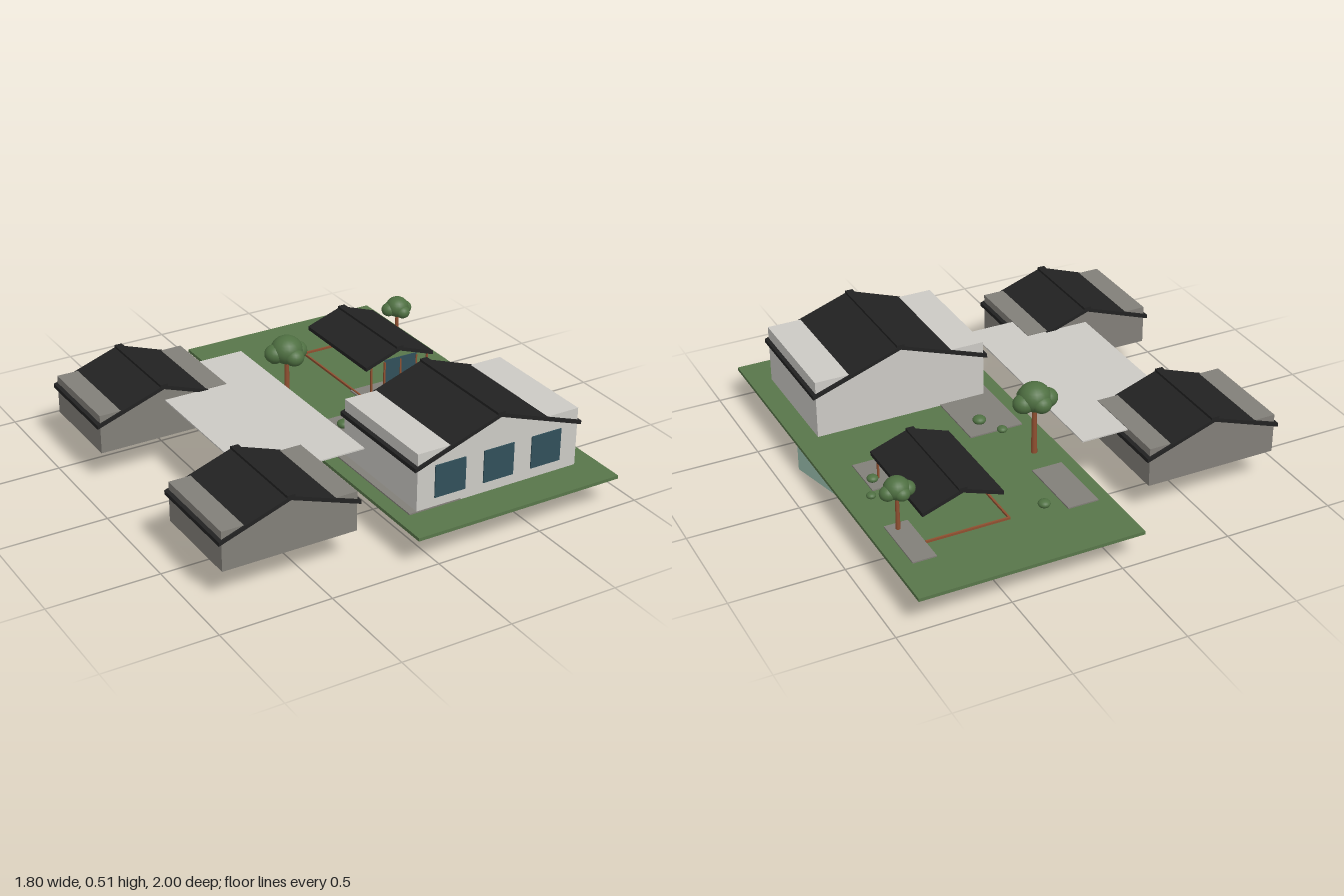
import * as THREE from 'three';

const mat = (name, color) => {
  const m = new THREE.MeshStandardMaterial({ color });
  m.name = name;
  return m;
};

export function createModel() {
  const root = new THREE.Group();
  const grass = mat('grass', 0x58764a), roofDark = mat('roofDark', 0x222222);
  const paleWall = mat('paleWall', 0xcccac5), grey = mat('grey', 0x827f79);
  const glass = mat('windowGlass', 0x31505a), water = mat('poolGreen', 0x95b8a8);
  const wood = mat('wood', 0x8f4f30), leaf = mat('leaf', 0x4f7042);

  const add = (name, geo, m, x = 0, y = 0, z = 0, parent = root) => {
    const mesh = new THREE.Mesh(geo, m);
    mesh.name = name;
    mesh.position.set(x, y, z);
    parent.add(mesh);
    return mesh;
  };
  // Box given by its limits on each axis
  const box = (name, m, x0, x1, y0, y1, z0, z1, parent = root) =>
    add(name, new THREE.BoxGeometry(x1 - x0, y1 - y0, z1 - z0), m,
      (x0 + x1) / 2, (y0 + y1) / 2, (z0 + z1) / 2, parent);
  // Profile in x and y, extruded from z0 to z1
  const prism = (name, m, pts, x, z0, z1, parent) =>
    add(name, new THREE.ExtrudeGeometry(
      new THREE.Shape(pts.map(p => new THREE.Vector2(...p))),
      { depth: z1 - z0, bevelEnabled: false }), m, x, 0, z0, parent);

  // Chevron roof of two slabs with a ridge cap
  const SLOPE = 0.35;
  const gableRoof = (parent, x, half, ridge, z0, z1, t = 0.018) => {
    const eave = ridge - half * SLOPE;
    prism('roof', roofDark, [[-half, eave - t], [0, ridge - t], [half, eave - t],
      [half, eave], [0, ridge], [-half, eave]], x, z0, z1, parent);
    box('ridgeCap', roofDark, x - 0.018, x + 0.018, ridge - 0.012, ridge + 0.005, z0, z1, parent);
  };

  // Block with flat-topped walls, gable infill and a roof cutting into its corners
  const house = (name, m, x0, x1, top, ridge, z0, z1) => {
    const g = new THREE.Group();
    g.name = name;
    root.add(g);
    const x = (x0 + x1) / 2;
    box('walls', m, x0, x1, 0.15, top, z0, z1, g);
    const peak = ridge - 0.012, w = (peak - top) / SLOPE;
    prism('gable', m, [[-w, top], [w, top], [0, peak]], x, z0, z1, g);
    gableRoof(g, x, (x1 - x0) / 2 + 0.015, ridge, z0 - 0.01, z1 + 0.008);
    return g;
  };

  // Lawn and the two turned basins beneath it
  box('lawn', grass, -0.1, 0.9, 0.135, 0.15, -1, 1);
  for (const [x, z, turn] of [[0.2, -0.33, -0.13], [0.665, 0.085, 0.24]]) {
    add('basin', new THREE.BoxGeometry(0.343, 0.137, 0.495), water, x, 0.0685, z).rotation.y = turn;
  }

  // Paving
  for (const [x0, x1, z0, z1] of [[-0.04, 0.1, -0.72, -0.4], [0.72, 0.825, -0.78, -0.5],
    [0.335, 0.76, -0.235, -0.02], [-0.035, 0.215, 0.245 - 0.29, 0.83]]) {
    box('paving', grey, x0, x1, 0.149, 0.156, z0, z1);
  }

  // Main house with three front windows
  const main = house('mainHouse', paleWall, 0, 0.8, 0.42, 0.505, 0.265, 0.828);
  for (const x of [0.16, 0.4, 0.64]) {
    box('frontWindow', glass, x - 0.075, x + 0.075, 0.197, 0.347, 0.827, 0.833, main);
  }

  // Two side houses joined by a flat canopy
  house('backSideHouse', grey, -0.89, -0.28, 0.33, 0.402, -0.72, -0.275);
  house('frontSideHouse', grey, -0.89, -0.28, 0.33, 0.402, 0.375, 0.822);
  box('canopy', paleWall, -0.58, -0.065, 0.321, 0.327, -0.535, 0.528);
  box('hangingPanel', roofDark, -0.5, -0.34, 0.265, 0.303, -0.003, 0.003);

  // Garden pavilion: roof, front screen and posts
  const pavilion = new THREE.Group();
  pavilion.name = 'pavilion';
  root.add(pavilion);
  gableRoof(pavilion, 0.55, 0.18, 0.355, -0.672, -0.155);
  box('screenGlass', glass, 0.47, 0.64, 0.155, 0.305, -0.161, -0.157, pavilion);
  for (const x of [0.4, 0.47, 0.555, 0.64, 0.7]) {
    box('post', wood, x - 0.004, x + 0.004, 0.15, 0.295, -0.163, -0.155, pavilion);
  }
  // Low timber edging
  box('leftEdging', wood, 0.343, 0.351, 0.15, 0.16, -0.678, -0.122, pavilion);
  box('backEdging', wood, 0.343, 0.72, 0.15, 0.16, -0.678, -0.67, pavilion);
  box('frontEdging', wood, 0.343, 0.61, 0.15, 0.16, -0.13, -0.122, pavilion);

  // Trees: a trunk and a cluster of rounded clumps
  const ball = new THREE.SphereGeometry(1, 20, 14);
  const clumps = [[0, 0, 0, 0.072], [-0.055, -0.012, -0.01, 0.047], [0.055, -0.018, -0.005, 0.047],
    [0.01, -0.02, 0.05, 0.045], [-0.01, -0.015, -0.045, 0.045]];
  const tree = (x, y, z, s) => {
    const g = new THREE.Group();
    g.name = 'tree';
    root.add(g);
    add('trunk', new THREE.CylinderGeometry(0.009 * s, 0.014 * s, y - 0.15, 10), wood,
      x, (y + 0.15) / 2, z, g);
    for (const [cx, cy, cz, r] of clumps) {
      add('foliage', ball, leaf, x + cx * s, y + cy * s, z + cz * s, g)
        .scale.set(r * s, r * s * 0.9, r * s);
    }
  };
  tree(0.022, 0.425, -0.268, 1);
  tree(0.78, 0.352, -0.54, 0.75);

  // Shrubs
  for (const [x, z, r] of [[0.18, -0.66, 0.027], [0.785, -0.28, 0.021], [0.73, -0.167, 0.025],
    [0.07, -0.06, 0.023], [0.127, 0.05, 0.03]]) {
    add('shrub', ball, leaf, x, 0.15 + r * 0.65, z).scale.set(r, r * 0.65, r);
  }
  return root;
}
